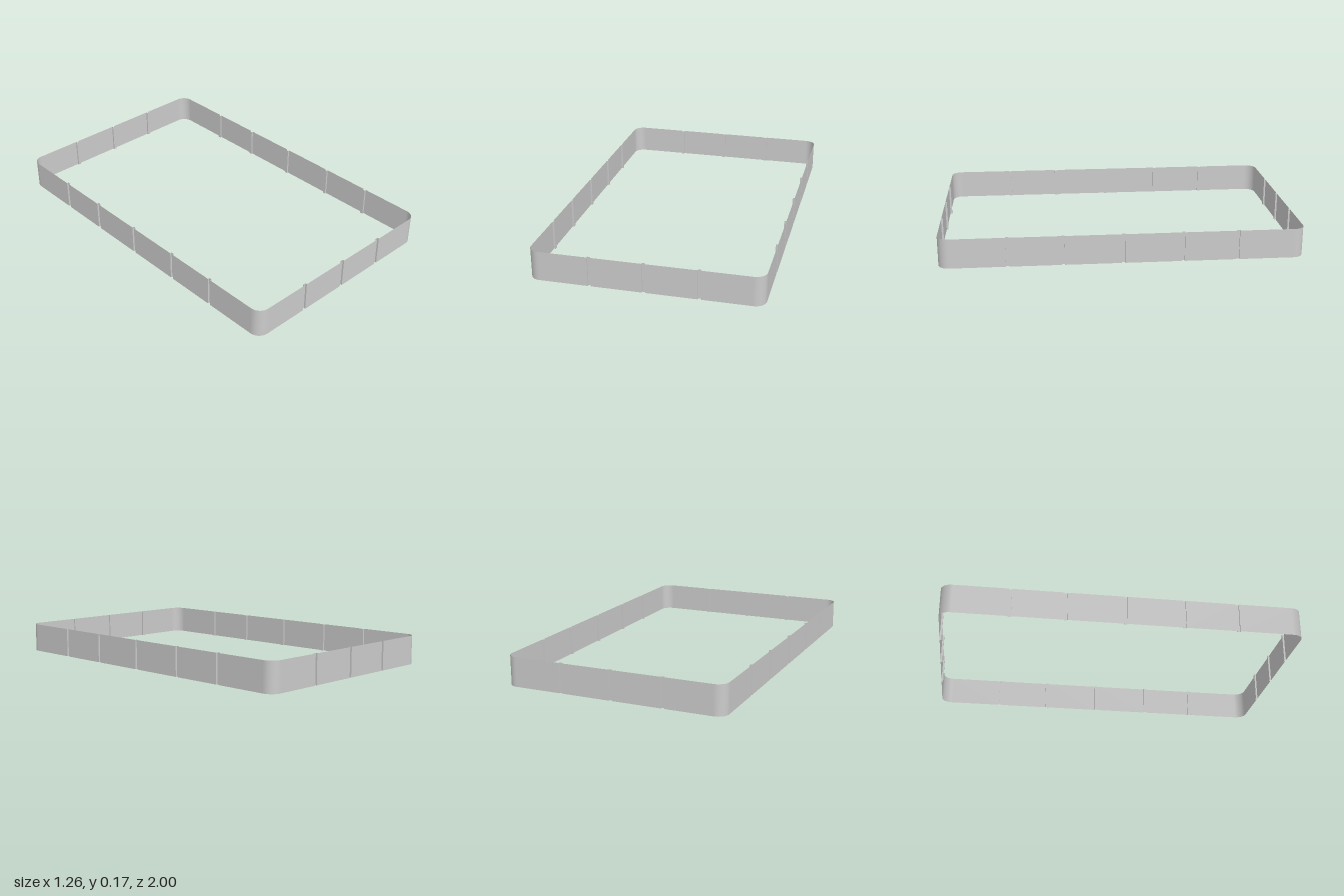
import * as THREE from 'three';
import { toCreasedNormals } from 'three/addons/utils/BufferGeometryUtils.js';

const HEIGHT = 0.166, HALF_X = 0.63, HALF_Z = 1, RADIUS = 0.06;
const GROOVE_HALF = 0.0085, GROOVE_DEPTH = 0.01;

const material = new THREE.MeshStandardMaterial({ color: 0xcccccc, side: THREE.DoubleSide });

// Upright sheet that follows a plan line of [x, z] points
function sheet(name, points) {
  const positions = [], index = [];
  points.forEach(([x, z], i) => {
    positions.push(x, 0, z, x, HEIGHT, z);
    if (i > 0) {
      const a = 2 * i - 2;
      index.push(a, a + 2, a + 3, a, a + 3, a + 1);
    }
  });
  const geometry = new THREE.BufferGeometry();
  geometry.setAttribute('position', new THREE.Float32BufferAttribute(positions, 3));
  geometry.setIndex(index);
  const mesh = new THREE.Mesh(toCreasedNormals(geometry, Math.PI / 6), material);
  mesh.name = name;
  return mesh;
}

// One side of the frame: flat panels, narrow grooves between them, rounded end corner
function side(name, half, distance, grooves) {
  const group = new THREE.Group();
  group.name = name;
  let start = -half + RADIUS;
  for (const s of grooves) {
    const a = s - GROOVE_HALF, b = s + GROOVE_HALF, inner = distance - GROOVE_DEPTH;
    group.add(sheet('panel', [[start, distance], [a, distance]]));
    group.add(sheet('groove', [[a, distance], [a, inner], [b, inner], [b, distance]]));
    start = b;
  }
  const end = half - RADIUS;
  group.add(sheet('panel', [[start, distance], [end, distance]]));

  const arc = [];
  for (let i = 0; i <= 12; i++) {
    const t = (i / 12) * Math.PI / 2;
    arc.push([end + RADIUS * Math.sin(t), distance - RADIUS + RADIUS * Math.cos(t)]);
  }
  group.add(sheet('corner', arc));
  return group;
}

export function createModel() {
  const model = new THREE.Group();
  model.name = 'frame';
  const shortGrooves = [-0.293, 0, 0.293];
  const longGrooves = [-0.628, -0.327, 0, 0.327, 0.628];

  // Four sides, each a quarter turn on from the last
  ['frontWall', 'leftWall', 'backWall', 'rightWall'].forEach((name, i) => {
    const wall = i % 2 === 0
      ? side(name, HALF_X, HALF_Z, shortGrooves)
      : side(name, HALF_Z, HALF_X, longGrooves);
    wall.rotation.y = i * Math.PI / 2;
    model.add(wall);
  });
  return model;
}
